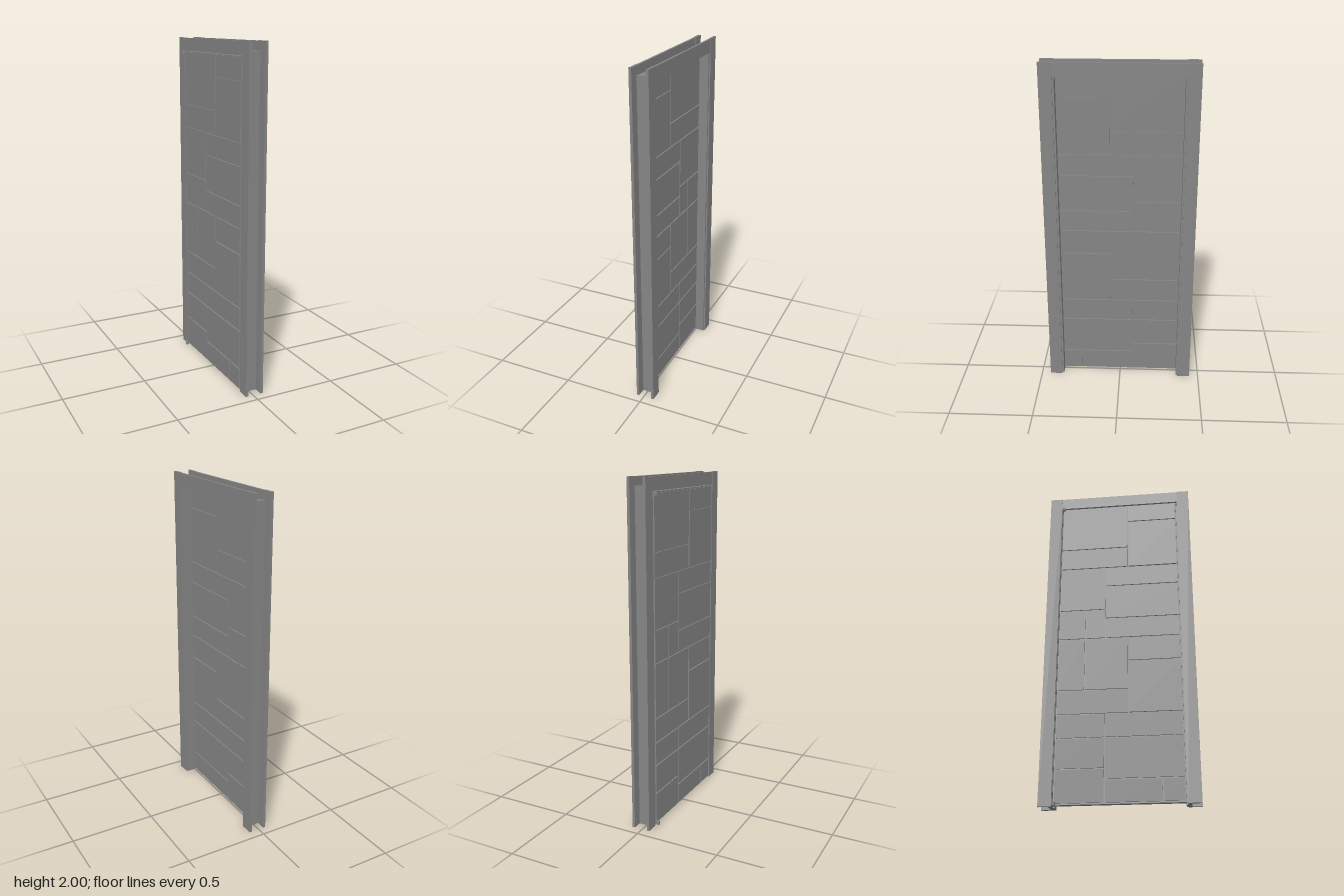
import * as THREE from 'three';

const darkGrey = new THREE.MeshStandardMaterial({ color: 0x858585 });

// Box given by its limits on each axis
function block(parent, name, [x0, x1], [y0, y1], [z0, z1]) {
  const mesh = new THREE.Mesh(new THREE.BoxGeometry(x1 - x0, y1 - y0, z1 - z0), darkGrey);
  mesh.position.set((x0 + x1) / 2, (y0 + y1) / 2, (z0 + z1) / 2);
  mesh.name = name;
  parent.add(mesh);
}

// Two uprights and a slightly inset head between them
function portal(name, [x0, x1], inner, outer, headBottom, top) {
  const g = new THREE.Group();
  g.name = name;
  const inset = 0.0015;
  block(g, name + 'Left', [x0, x1], [0, top], [inner, outer]);
  block(g, name + 'Right', [x0, x1], [0, top], [-outer, -inner]);
  block(g, name + 'Head', [x0 + inset, x1 - inset], [headBottom, top - inset], [-inner, inner]);
  return g;
}

// Door panels: z start, z end, bottom, top, raised
const PANELS = [
  [0.055, 0.36, 1.795, 1.917, 0], [0.055, 0.36, 1.465, 1.795, 1],
  [-0.36, 0.055, 1.605, 1.917, 0], [-0.36, 0.055, 1.465, 1.605, 0],
  [-0.08, 0.36, 1.335, 1.465, 0], [-0.08, 0.36, 1.115, 1.335, 0],
  [-0.08, 0.36, 0.985, 1.115, 0], [-0.36, -0.08, 1.175, 1.465, 0],
  [-0.2, -0.08, 0.985, 1.175, 0], [-0.36, -0.2, 0.985, 1.175, 0],
  [0.055, 0.36, 0.835, 0.985, 0], [0.055, 0.36, 0.515, 0.835, 1],
  [-0.2, 0.055, 0.66, 0.985, 0], [-0.36, -0.2, 0.66, 0.985, 0],
  [-0.36, 0.055, 0.515, 0.66, 0],
  [-0.08, 0.36, 0.375, 0.515, 0], [-0.08, 0.36, 0.14, 0.375, 0],
  [0.24, 0.36, 0.01, 0.14, 0], [-0.08, 0.24, 0.01, 0.14, 0],
  [-0.36, -0.08, 0.375, 0.515, 0], [-0.36, -0.08, 0.2, 0.375, 0],
  [-0.36, -0.08, 0.01, 0.2, 0],
];

// Core with panels on both faces, parted by grooves
function buildDoor() {
  const door = new THREE.Group();
  door.name = 'door';
  block(door, 'doorCore', [-0.04, -0.008], [0.006, 1.92], [-0.362, 0.362]);
  const gap = 0.004;
  for (const [z0, z1, y0, y1, raised] of PANELS) {
    const outerFace = raised ? -0.05 : -0.048;
    block(door, 'doorPanel', [outerFace, 0], [y0 + gap, y1 - gap], [z0 + gap, z1 - gap]);
  }
  return door;
}

// Small pivot arm with a rounded end
function buildPivot(y) {
  const g = new THREE.Group();
  g.name = 'pivotHinge';
  block(g, 'pivotArm', [-0.058, -0.04], [y - 0.006, y + 0.006], [-0.365, -0.347]);
  const pin = new THREE.Mesh(new THREE.CylinderGeometry(0.009, 0.009, 0.022, 20), darkGrey);
  pin.name = 'pivotPin';
  pin.position.set(-0.058, y, -0.356);
  g.add(pin);
  return g;
}

export function createModel() {
  const model = new THREE.Group();
  model.name = 'framedDoor';

  // Casings on both faces of the wall
  model.add(portal('casingOuter', [-0.047, -0.031], 0.37, 0.445, 1.925, 2));
  model.add(portal('casingInner', [0.048, 0.064], 0.37, 0.445, 1.925, 2));

  // Jamb lining the opening, with the stop the door closes against
  model.add(portal('jamb', [-0.031, 0.048], 0.368, 0.39, 1.924, 1.95));
  model.add(portal('doorStop', [0.001, 0.056], 0.359, 0.37, 1.916, 1.926));

  model.add(buildDoor());
  for (const y of [0.014, 1.914]) model.add(buildPivot(y));
  return model;
}
